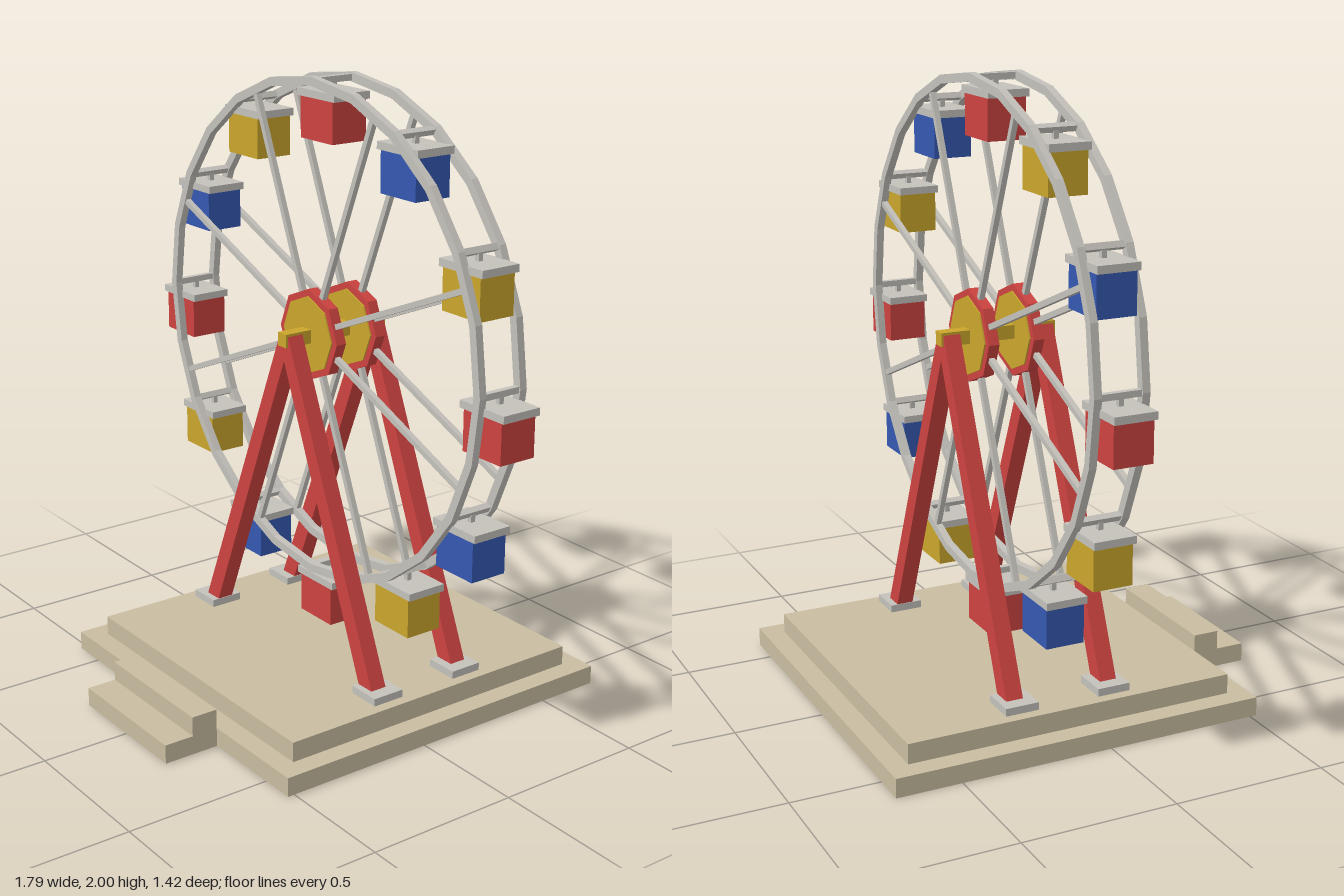
import * as THREE from 'three';

const mat = (name, color) => {
  const m = new THREE.MeshStandardMaterial({ color, flatShading: true, side: THREE.DoubleSide });
  m.name = name;
  return m;
};

export function createModel() {
  const red = mat('red', 0xcc4340);
  const blue = mat('blue', 0x3558b0);
  const gold = mat('gold', 0xcba62c);
  const steel = mat('steel', 0xc4c1bb);
  const stone = mat('stone', 0xc9bda1);

  const model = new THREE.Group();
  model.name = 'ferrisWheel';

  const add = (parent, name, geometry, material, x = 0, y = 0, z = 0) => {
    const mesh = new THREE.Mesh(geometry, material);
    mesh.name = name;
    mesh.position.set(x, y, z);
    parent.add(mesh);
    return mesh;
  };

  // Box without its underside
  const openBox = (w, h, d) => {
    const g = new THREE.BoxGeometry(w, h, d);
    const index = Array.from(g.index.array);
    index.splice(18, 6);
    g.setIndex(index);
    g.clearGroups();
    return g;
  };

  const Z0 = -0.095; // middle plane of the wheel
  const HUB_Y = 1.185;
  const RADIUS = 0.8;

  // Platform and steps
  add(model, 'platformLower', openBox(1.226, 0.062, 1.235), stone, 0, 0.031, Z0);
  add(model, 'platformUpper', openBox(1.09, 0.065, 1.1), stone, 0, 0.0945, Z0);
  add(model, 'stepUpper', openBox(0.468, 0.126, 0.088), stone, 0, 0.063, 0.567);
  add(model, 'stepLower', openBox(0.468, 0.062, 0.1), stone, 0, 0.031, 0.66);

  // A-frame supports on either side, with foot pads
  const frame = new THREE.Shape([
    [0.02, 1.203], [0.468, 0.14], [0.402, 0.14], [0, 1.115],
    [-0.402, 0.14], [-0.468, 0.14], [-0.02, 1.203],
  ].reverse().map(([x, y]) => new THREE.Vector2(x, y)));
  const frameGeo = new THREE.ExtrudeGeometry(frame, { depth: 0.056, bevelEnabled: false });
  frameGeo.translate(0, 0, -0.028);
  const padGeo = new THREE.BoxGeometry(0.114, 0.026, 0.11);
  for (const s of [1, -1]) {
    add(model, s > 0 ? 'frontFrame' : 'backFrame', frameGeo, red, 0, 0, Z0 + s * 0.162);
    for (const x of [-0.452, 0.452]) add(model, 'footPad', padGeo, steel, x, 0.139, Z0 + s * 0.158);
  }

  // Axle
  add(model, 'axle', new THREE.BoxGeometry(0.044, 0.044, 0.394), gold, 0, HUB_Y, Z0);

  // Wheel
  const wheel = new THREE.Group();
  wheel.name = 'wheel';
  wheel.position.set(0, HUB_Y, Z0);
  model.add(wheel);

  const h = 0.0125;
  const rimGeo = new THREE.LatheGeometry(
    [[0.815, -h], [0.815, h], [0.787, h], [0.787, -h], [0.815, -h]].map(([r, y]) => new THREE.Vector2(r, y)), 24);
  rimGeo.rotateX(Math.PI / 2);
  const disc = (r, t) => new THREE.CylinderGeometry(r, r, t, 8).rotateX(Math.PI / 2);
  const hubGeo = disc(0.15, 0.036);
  const hubPlateGeo = disc(0.127, 0.046);
  const spokeGeo = new THREE.BoxGeometry(0.018, 0.7, 0.018).translate(0, 0.44, 0);

  for (const z of [0.077, -0.077]) {
    add(wheel, 'rim', rimGeo, steel, 0, 0, z);
    add(wheel, 'hub', hubGeo, red, 0, 0, z);
    add(wheel, 'hubPlate', hubPlateGeo, gold, 0, 0, z);
    for (let i = 0; i < 8; i++) {
      add(wheel, 'spoke', spokeGeo, steel, 0, 0, z).rotation.z = (i + 0.5) * Math.PI / 4;
    }
  }

  // Cross bars and hanging cabins, colours repeating clockwise from the top
  const barGeo = new THREE.BoxGeometry(0.02, 0.02, 0.172);
  const hangerGeo = new THREE.BoxGeometry(0.016, 0.04, 0.016);
  const roofGeo = new THREE.BoxGeometry(0.19, 0.024, 0.138);
  const cabinGeo = openBox(0.164, 0.132, 0.128);
  const colours = [red, blue, gold];
  for (let i = 0; i < 12; i++) {
    const a = i * Math.PI / 6;
    const gondola = new THREE.Group();
    gondola.name = 'gondola';
    gondola.position.set(Math.sin(a) * RADIUS, Math.cos(a) * RADIUS, 0);
    wheel.add(gondola);
    add(gondola, 'crossBar', barGeo, steel).rotation.z = -a;
    add(gondola, 'hanger', hangerGeo, steel, 0, -0.02, 0);
    add(gondola, 'roof', roofGeo, steel, 0, -0.043, 0);
    add(gondola, 'cabin', cabinGeo, colours[i % 3], 0, -0.12, 0);
  }

  return model;
}
